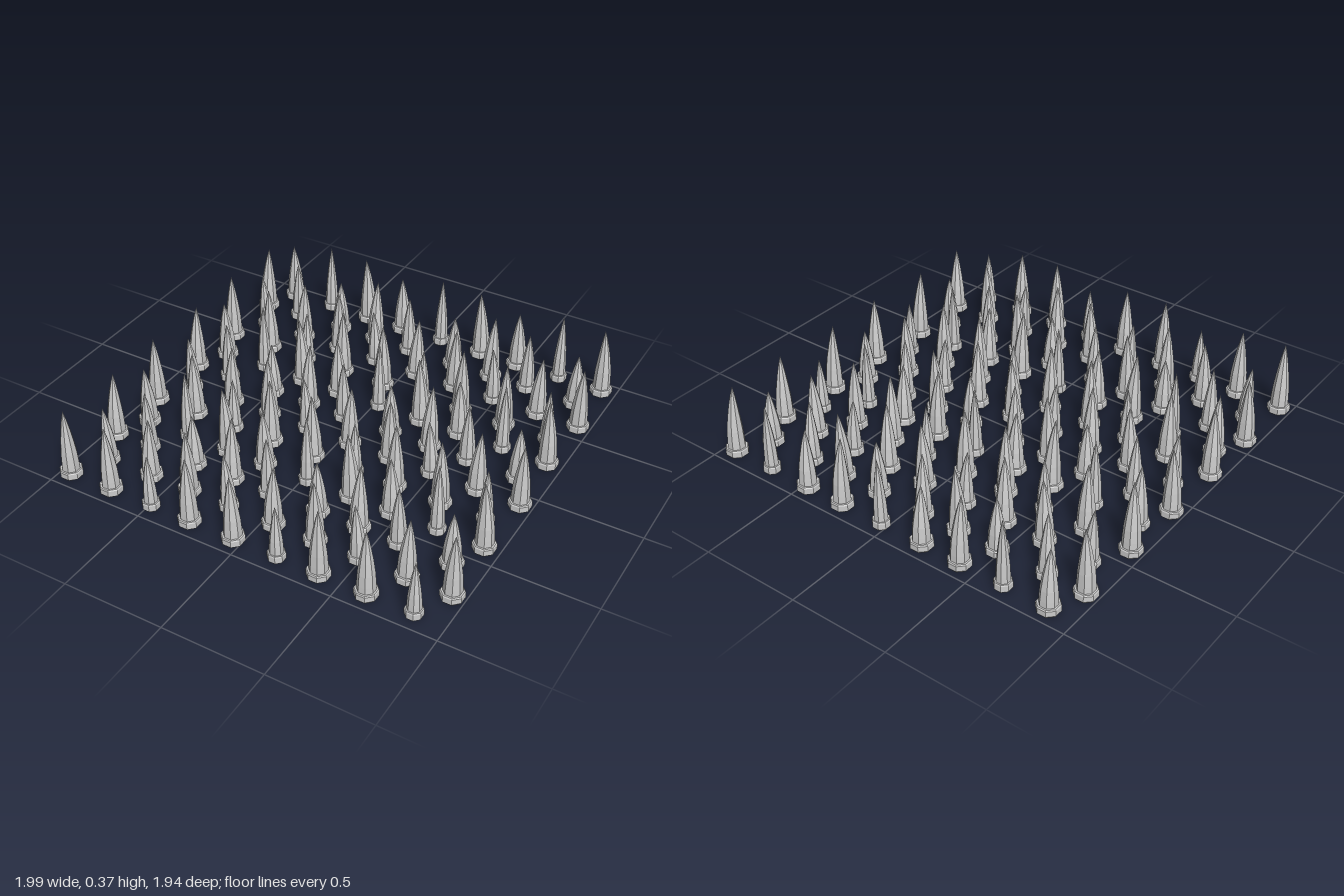
import * as THREE from 'three';

const PERIOD = 0.668; // the 12-spike patch repeats 3 x 3
const SIDES = 8;

// One patch: base x, base z, collar radius, height, tip lean in x, tip lean in z
const PATCH = [
  [-0.87, -0.921, 0.056, 0.32, 0.0, 0.01],
  [-0.64, -0.921, 0.043, 0.365, -0.005, -0.01],
  [-0.41, -0.921, 0.056, 0.37, -0.01, 0.01],
  [-0.942, -0.758, 0.056, 0.355, 0.005, -0.01],
  [-0.745, -0.758, 0.05, 0.33, 0.005, 0.012],
  [-0.485, -0.758, 0.056, 0.29, 0.0, 0.0],
  [-0.848, -0.588, 0.048, 0.3, -0.015, 0.0],
  [-0.61, -0.588, 0.056, 0.335, 0.01, 0.0],
  [-0.395, -0.588, 0.056, 0.352, 0.008, 0.015],
  [-0.942, -0.418, 0.056, 0.37, 0.006, 0.008],
  [-0.71, -0.418, 0.056, 0.36, 0.0, 0.005],
  [-0.485, -0.418, 0.043, 0.29, 0.0, 0.0],
];

function lathe(points) {
  return new THREE.LatheGeometry(points.map(([r, y]) => new THREE.Vector2(r, y)), SIDES, Math.PI / 8);
}

// Octagonal collar with a slight bevel
function collarGeometry(r) {
  return lathe([[0, 0], [0.9 * r, 0], [r, 0.008], [r, 0.035], [0.93 * r, 0.041], [0, 0.041]]);
}

// Tapered, slightly bulging thorn whose tip leans sideways
function thornGeometry(r, height, leanX, leanZ) {
  const base = 0.035;
  const taper = [[0.78, 0], [0.76, 0.12], [0.7, 0.3], [0.56, 0.5], [0.38, 0.7], [0.2, 0.86], [0, 1]];
  const geometry = lathe(taper.map(([s, t]) => [s * r, base + t * (height - base)]));
  const pos = geometry.attributes.position;
  for (let i = 0; i < pos.count; i++) {
    const t = (pos.getY(i) - base) / (height - base);
    pos.setX(i, pos.getX(i) + leanX * t * t);
    pos.setZ(i, pos.getZ(i) + leanZ * t * t);
  }
  geometry.computeVertexNormals();
  return geometry;
}

export function createModel() {
  const model = new THREE.Group();
  model.name = 'spikeField';
  const material = new THREE.MeshStandardMaterial({ color: 0xcccccc, flatShading: true });

  for (const [x, z, r, height, leanX, leanZ] of PATCH) {
    const collarShape = collarGeometry(r);
    const thornShape = thornGeometry(r, height, leanX, leanZ);
    for (let i = 0; i < 3; i++) {
      for (let j = 0; j < 3; j++) {
        const spike = new THREE.Group();
        spike.name = 'spike';
        const collar = new THREE.Mesh(collarShape, material);
        collar.name = 'collar';
        const thorn = new THREE.Mesh(thornShape, material);
        thorn.name = 'thorn';
        spike.add(collar, thorn);
        spike.position.set(x + i * PERIOD, 0, z + j * PERIOD);
        model.add(spike);
      }
    }
  }
  return model;
}
